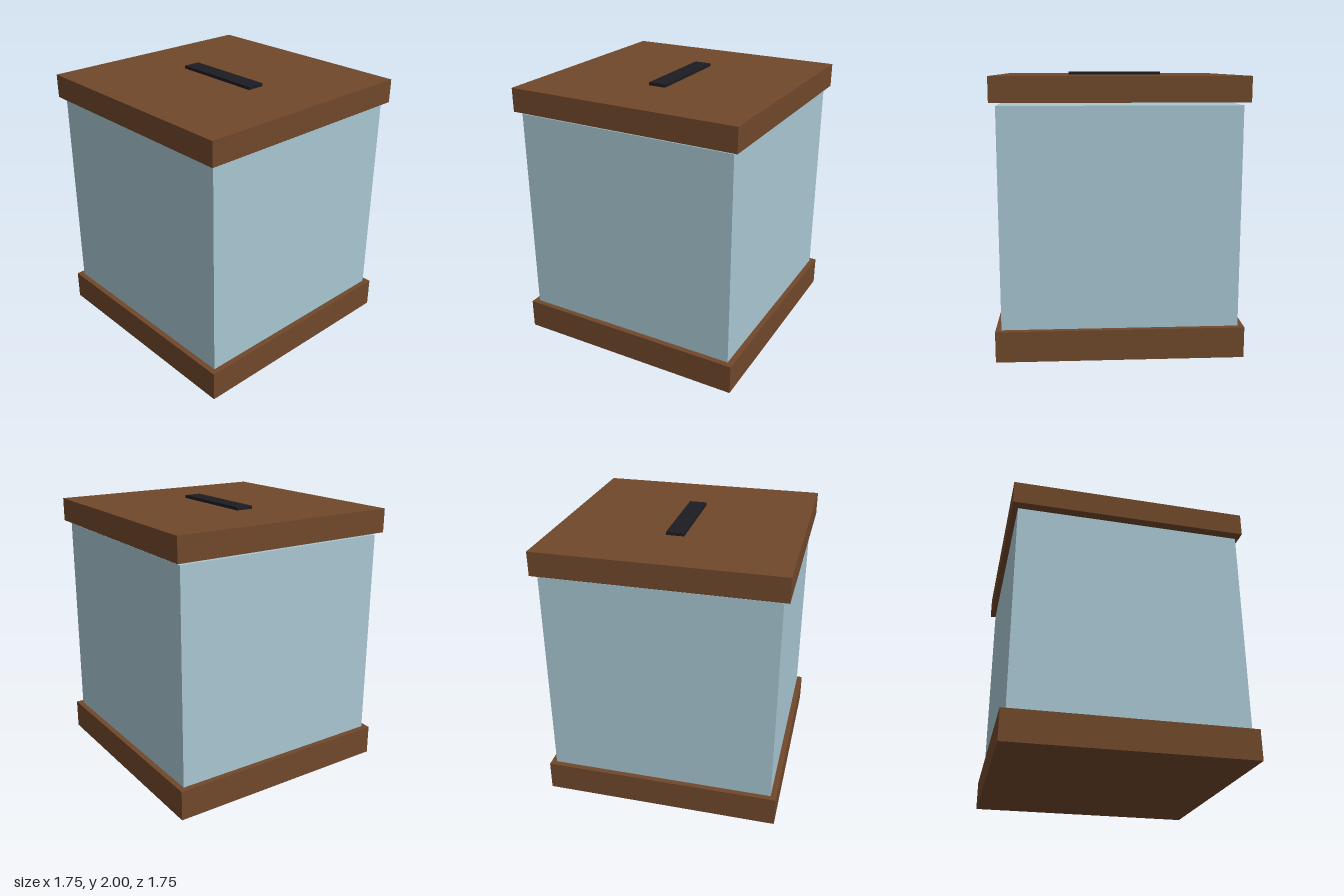
import * as THREE from 'three';

export function createModel() {
  const group = new THREE.Group();
  const wood = new THREE.MeshStandardMaterial({ color: 0x70482b });
  const glass = new THREE.MeshStandardMaterial({ color: 0xa8c6d1 });
  const black = new THREE.MeshStandardMaterial({ color: 0x1c1c22 });

  // Square-cornered block spanning y0..y1, centred on the vertical axis
  function block(name, width, depth, y0, y1, material) {
    const mesh = new THREE.Mesh(new THREE.BoxGeometry(width, y1 - y0, depth), material);
    mesh.name = name;
    mesh.position.y = (y0 + y1) / 2;
    group.add(mesh);
  }

  block('base', 1.752, 1.752, 0, 0.222, wood);
  block('glassBody', 1.67, 1.67, 0.222, 1.782, glass);
  // The lid sits just clear of the glass
  block('lid', 1.752, 1.752, 1.803, 1.978, wood);
  block('slotPlate', 0.702, 0.131, 1.978, 2, black);

  return group;
}
